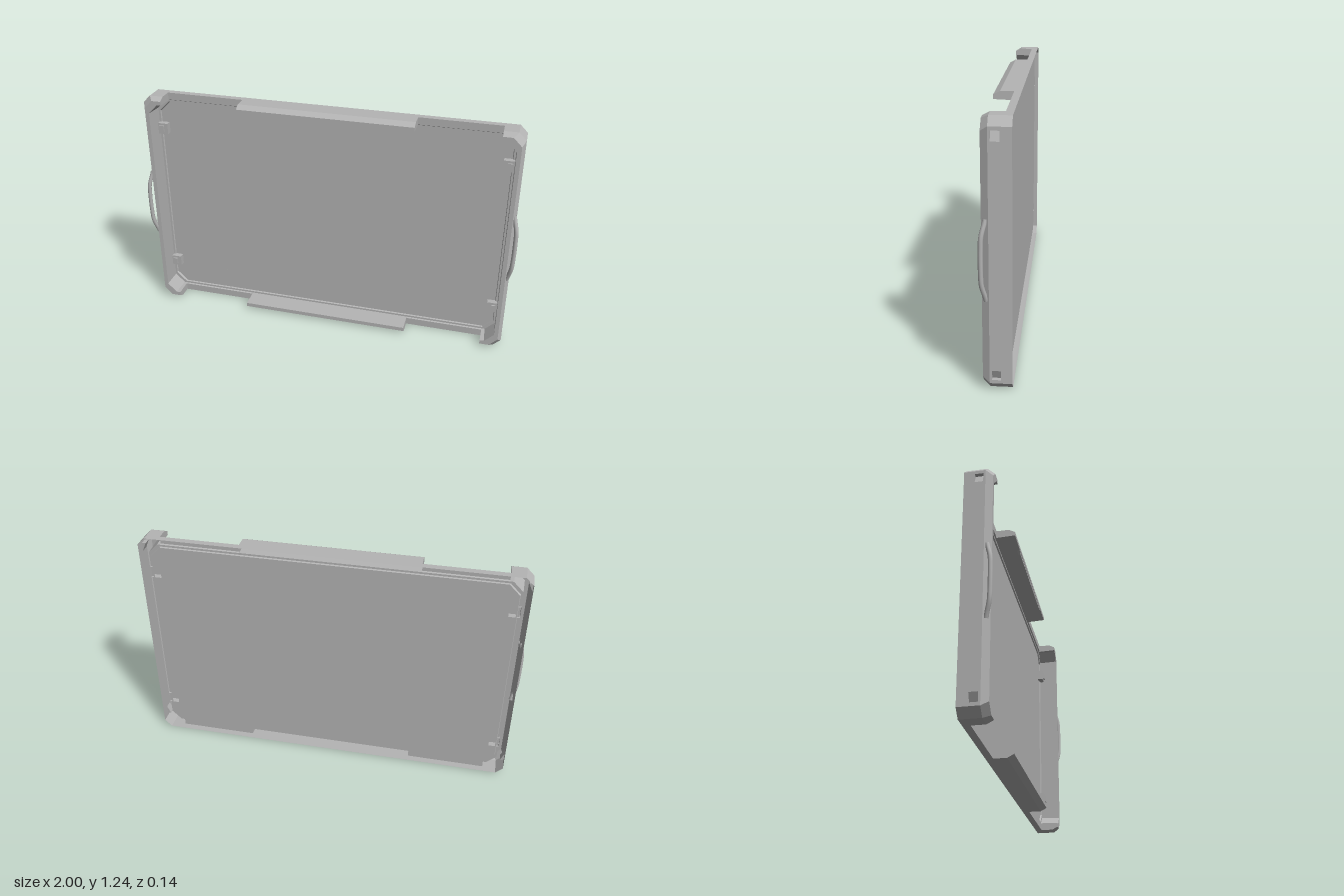
import * as THREE from 'three';

const HALF_W = 0.98, HALF_H = 0.6175, MID_Y = 0.6175;
const FLOOR_Z = -0.05, NOTCH_Z = -0.035, BACK_Z = -0.07;

// Rim cross-section: [inset from the outer edge, z]
const PROFILE = [[0, BACK_Z], [0, 0.03], [0.017, 0.062], [0.038, 0.062],
  [0.042, -0.042], [0.052, -0.042], [0.055, FLOOR_Z]];
const FLOOR_INSET = 0.055;

const grey = new THREE.MeshStandardMaterial({ color: 0xb4b4b4, side: THREE.DoubleSide });
grey.name = 'grey plastic';

// Flat-shaded mesh from quads and triangles given as corner lists
function facesMesh(name, faces) {
  const pos = [];
  for (const f of faces) {
    for (let i = 1; i < f.length - 1; i++) pos.push(...f[0], ...f[i], ...f[i + 1]);
  }
  const g = new THREE.BufferGeometry();
  g.setAttribute('position', new THREE.Float32BufferAttribute(pos, 3));
  g.computeVertexNormals();
  return named(name, g);
}

function named(name, geometry) {
  const m = new THREE.Mesh(geometry, grey);
  m.name = name;
  return m;
}

const cornerCut = d => 0.038 + 0.3 * d;

// Stations around the rim, anticlockwise from the front; low ones are notched
function stations() {
  const list = [];
  const side = sx => [-sx, sx].forEach(sy => // sx also sets the travel direction
    list.push({ side: sx, at: d => [sx * (HALF_W - d), -sy * -1 * (HALF_H - d - cornerCut(d))] }));
  const edge = sy => {
    const corner = s => list.push({ at: d => [s * (HALF_W - d - cornerCut(d)), sy * (HALF_H - d)] });
    const stop = (x, low) => list.push({ low, at: d => [x, sy * (HALF_H - d)] });
    corner(sy);
    for (const [x, low] of [[0.87, 0], [0.87, 1], [0.455, 1], [0.455, 0],
      [-0.455, 0], [-0.455, 1], [-0.87, 1], [-0.87, 0]]) stop(sy * x, low);
    corner(-sy);
  };
  side(1);
  edge(1);
  side(-1);
  edge(-1);
  return list;
}

// Hollow rim lofted around the outline; the outer side walls are made apart
function rim() {
  const list = stations(), faces = [];
  const point = (s, [d, z]) => {
    const [x, y] = s.at(d);
    return [x, y + MID_Y, s.low ? Math.min(z, NOTCH_Z) : z];
  };
  list.forEach((a, i) => {
    const b = list[(i + 1) % list.length];
    for (let k = 0; k < PROFILE.length - 1; k++) {
      if (k === 0 && a.side && a.side === b.side) continue;
      faces.push([point(a, PROFILE[k]), point(b, PROFILE[k]),
        point(b, PROFILE[k + 1]), point(a, PROFILE[k + 1])]);
    }
  });
  return facesMesh('rim', faces);
}

function rectHole(x0, x1, y0, y1) {
  return new THREE.Path([[x0, y0], [x0, y1], [x1, y1], [x1, y0]].map(p => new THREE.Vector2(...p)));
}

// Recessed floor panel with openings behind the clips
const CLIP_Y = 0.415;
function floorPanel() {
  const d = FLOOR_INSET, W = HALF_W - d, H = HALF_H - d, c = cornerCut(d);
  const shape = new THREE.Shape([[W, -H + c], [W, H - c], [W - c, H], [-W + c, H],
    [-W, H - c], [-W, -H + c], [-W + c, -H], [W - c, -H]].map(p => new THREE.Vector2(...p)));
  for (const sx of [-1, 1]) for (const sy of [-1, 1]) {
    const xs = [sx * 0.885, sx * 0.92].sort((a, b) => a - b);
    shape.holes.push(rectHole(xs[0], xs[1], sy * CLIP_Y - 0.03, sy * CLIP_Y + 0.03));
  }
  const m = named('floorPanel', new THREE.ShapeGeometry(shape));
  m.position.set(0, MID_Y, FLOOR_Z);
  return m;
}

// Hollow clip, open at the back, with a small raised pad
function clip(sx, sy) {
  const g = new THREE.Group();
  g.name = 'clip';
  const x0 = sx * 0.885, x1 = sx * 0.94, yc = MID_Y + sy * CLIP_Y, z = -0.02;
  const ring = [[x0, yc - 0.03], [x1, yc - 0.03], [x1, yc + 0.03], [x0, yc + 0.03]];
  if (sx < 0) ring.reverse();
  const faces = [ring.map(p => [...p, z])];
  ring.forEach((p, i) => {
    const q = ring[(i + 1) % 4];
    faces.push([[...p, FLOOR_Z], [...q, FLOOR_Z], [...q, z], [...p, z]]);
  });
  const pad = named('clipPad', new THREE.BoxGeometry(0.025, 0.036, 0.008));
  pad.position.set(sx * 0.918, yc, z + 0.004);
  g.add(facesMesh('clipShell', faces), pad);
  return g;
}

// Outer side wall with two sloping pockets
function sideWall(sx) {
  const g = new THREE.Group();
  g.name = 'sideWall';
  const h = HALF_H - cornerCut(0), X = sx * HALF_W, inX = sx * (HALF_W - 0.02), r = 0.02;
  const shape = new THREE.Shape([[BACK_Z, -h], [0.03, -h], [0.03, h], [BACK_Z, h]]
    .map(p => new THREE.Vector2(...p)));
  for (const sy of [-1, 1]) {
    const near = sy * 0.518, far = sy * 0.563;
    shape.holes.push(rectHole(-r, r, Math.min(near, far), Math.max(near, far)));
    const a = near + MID_Y, b = far + MID_Y;
    const faces = [
      [[X, a, -r], [X, a, r], [inX, b, r], [inX, b, -r]],
      [[X, b, -r], [X, b, r], [inX, b, r], [inX, b, -r]],
      [[X, a, r], [X, b, r], [inX, b, r]],
      [[X, a, -r], [inX, b, -r], [X, b, -r]],
    ];
    if (sx * sy < 0) faces.forEach(f => f.reverse());
    g.add(facesMesh('sidePocket', faces));
  }
  const wall = new THREE.ShapeGeometry(shape).rotateY(sx > 0 ? Math.PI / 2 : -Math.PI / 2);
  // The wall outline is symmetric only in y, so restore z on the turned side
  if (sx > 0) {
    wall.scale(1, 1, -1);
    const idx = wall.index.array;
    for (let i = 0; i < idx.length; i += 3) [idx[i], idx[i + 1]] = [idx[i + 1], idx[i]];
    wall.computeVertexNormals();
  }
  const m = named('wallPanel', wall);
  m.position.set(X, MID_Y, 0);
  g.add(m);
  return g;
}

// Bowed handle on the bevel of each side
function handle(sx) {
  const path = [[0.968, 0.185, 0.043], [0.973, 0.165, 0.047], [0.986, 0.11, 0.06], [0.989, 0.05, 0.063]];
  const pts = [...path, ...path.slice().reverse().map(([x, y, z]) => [x, -y, z])]
    .map(([x, y, z]) => new THREE.Vector3(sx * x, MID_Y + y, z));
  return named('handle', new THREE.TubeGeometry(new THREE.CatmullRomCurve3(pts), 32, 0.011, 8));
}

// Thin bevelled lip under the top middle section
function topLip() {
  const shape = new THREE.Shape([[-0.325, 1.2], [-0.3, 1.183], [0.3, 1.183], [0.325, 1.2]]
    .map(p => new THREE.Vector2(...p)));
  const m = named('topLip', new THREE.ExtrudeGeometry(shape, { depth: 0.012, bevelEnabled: false }));
  m.position.z = 0.048;
  return m;
}

export function createModel() {
  const model = new THREE.Group();
  model.name = 'framedTray';
  model.add(rim(), floorPanel(), topLip());
  for (const sx of [-1, 1]) {
    model.add(sideWall(sx), handle(sx));
    for (const sy of [-1, 1]) model.add(clip(sx, sy));
  }
  return model;
}
